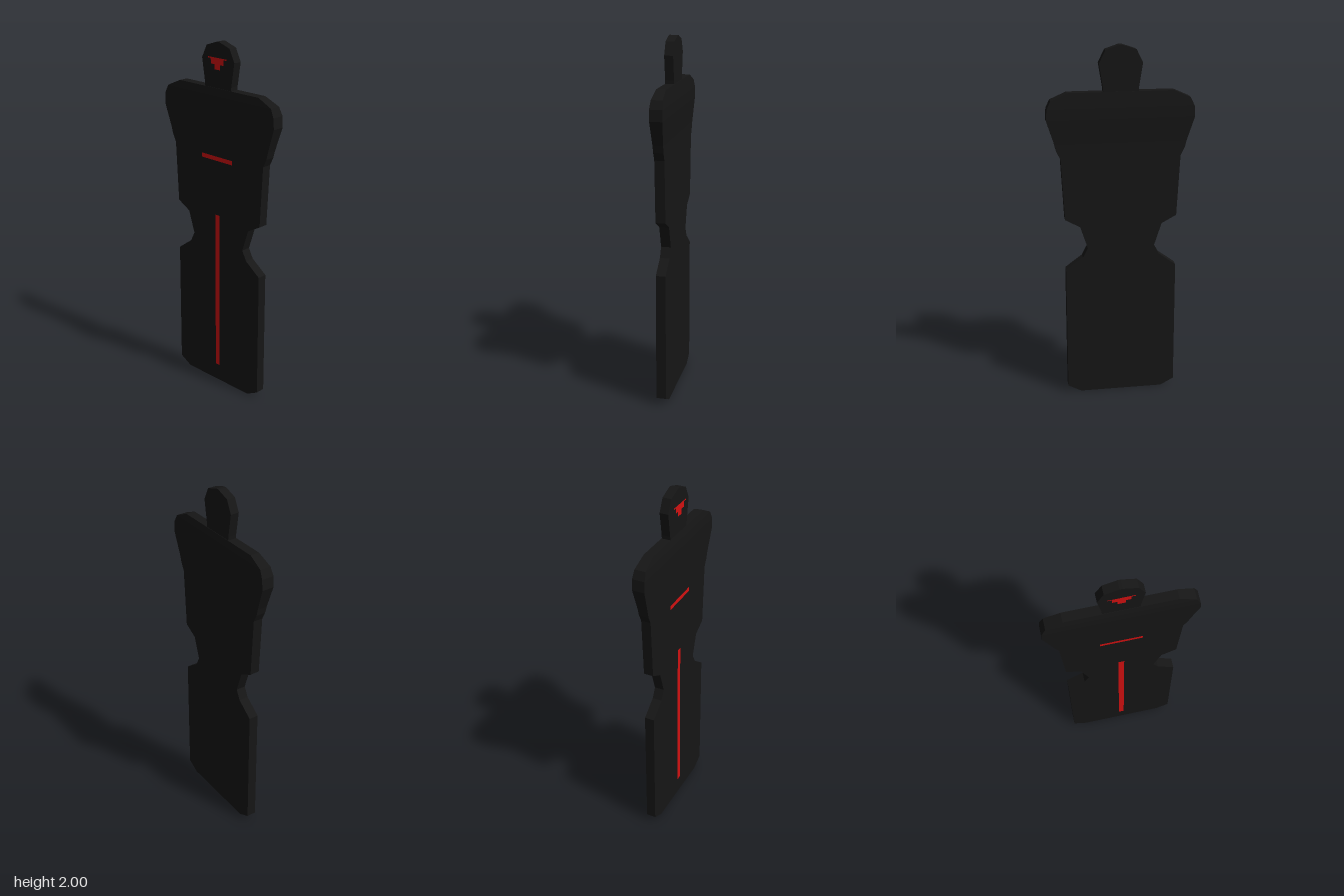
import * as THREE from 'three';

// Lofts rectangular cross-sections [y, halfWidth, halfDepth] into a closed slab
function loftSlab(rows) {
  const positions = [];
  const quad = (a, b, c, d) => positions.push(...a, ...b, ...c, ...a, ...c, ...d);
  const rings = rows.map(([y, w, t]) => [[-w, y, t], [w, y, t], [w, y, -t], [-w, y, -t]]);
  for (let i = 0; i < rings.length - 1; i++) {
    const lo = rings[i], hi = rings[i + 1];
    for (let k = 0; k < 4; k++) {
      const n = (k + 1) % 4;
      quad(lo[k], lo[n], hi[n], hi[k]);
    }
  }
  const first = rings[0], last = rings[rings.length - 1];
  quad(first[3], first[2], first[1], first[0]);
  quad(last[0], last[1], last[2], last[3]);
  const geometry = new THREE.BufferGeometry();
  geometry.setAttribute('position', new THREE.Float32BufferAttribute(positions, 3));
  geometry.computeVertexNormals();
  return geometry;
}

export function createModel() {
  const model = new THREE.Group();
  const black = new THREE.MeshStandardMaterial({ color: 0x161616, flatShading: true });
  const red = new THREE.MeshStandardMaterial({ color: 0xd41111, side: THREE.DoubleSide });

  const addSlab = (name, rows) => {
    const mesh = new THREE.Mesh(loftSlab(rows), black);
    mesh.name = name;
    model.add(mesh);
  };

  // Legs, waist and torso, thickening at the shoulders
  addSlab('body', [
    [0, 0.235, 0.027], [0.04, 0.31, 0.027], [0.76, 0.31, 0.027],
    [0.83, 0.215, 0.027], [0.885, 0.187, 0.027], [1.01, 0.228, 0.027],
    [1.055, 0.31, 0.027], [1.395, 0.328, 0.027], [1.44, 0.35, 0.027],
    [1.48, 0.36, 0.028], [1.61, 0.402, 0.034], [1.67, 0.398, 0.035],
    [1.715, 0.377, 0.031], [1.755, 0.288, 0.026],
  ]);

  // Head with a short tapered neck
  addSlab('head', [
    [1.75, 0.08, 0.024], [1.755, 0.095, 0.024], [1.775, 0.096, 0.024],
    [1.905, 0.117, 0.024], [1.975, 0.083, 0.024], [2, 0.008, 0.024],
  ]);

  // Flat red aiming marks, placed just off the front face
  const addMark = (name, halfWidth, y0, y1, z) => {
    const mesh = new THREE.Mesh(new THREE.PlaneGeometry(halfWidth * 2, y1 - y0), red);
    mesh.position.set(0, (y0 + y1) / 2, z);
    mesh.name = name;
    model.add(mesh);
  };
  addMark('centreLine', 0.016, 0.1, 1.042, 0.029);
  addMark('chestLine', 0.114, 1.358, 1.382, 0.034);
  addMark('faceMarkTop', 0.068, 1.911, 1.918, 0.031);
  addMark('faceMarkMiddle', 0.046, 1.882, 1.911, 0.031);
  addMark('faceMarkBottom', 0.02, 1.855, 1.882, 0.031);

  return model;
}
